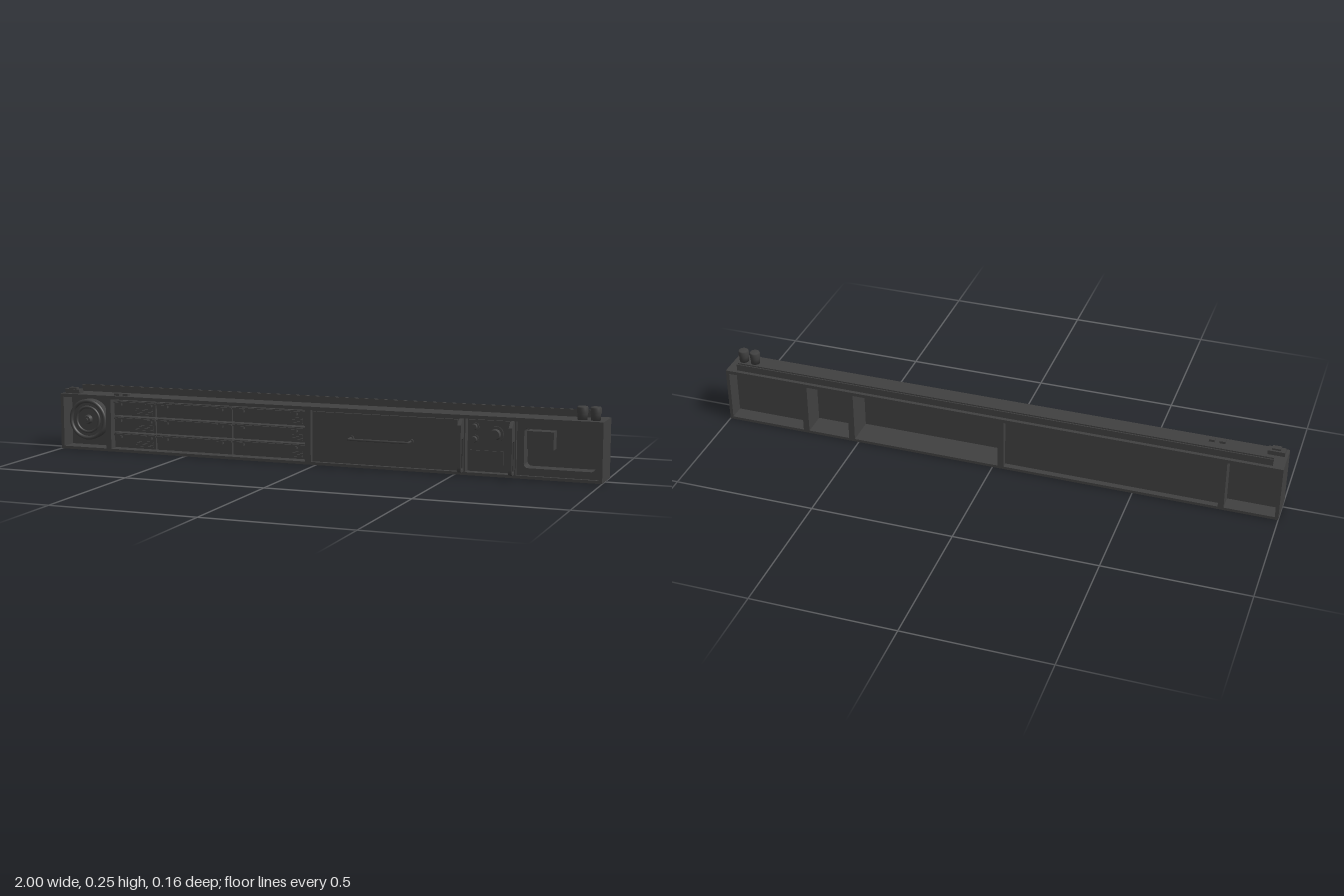
import * as THREE from 'three';

const material = new THREE.MeshStandardMaterial({ color: 0x404040 });

export function createModel() {
  const root = new THREE.Group();

  const add = (name, geometry, x = 0, y = 0, z = 0) => {
    const mesh = new THREE.Mesh(geometry, material);
    mesh.name = name;
    mesh.position.set(x, y, z);
    root.add(mesh);
    return mesh;
  };
  // Box given by its limits on each axis
  const box = (name, x0, x1, y0, y1, z0, z1) =>
    add(name, new THREE.BoxGeometry(x1 - x0, y1 - y0, z1 - z0), (x0 + x1) / 2, (y0 + y1) / 2, (z0 + z1) / 2);
  // Disc or knob whose axis points to the front
  const disc = (name, x, y, z0, z1, r, rFront = r) => {
    const g = new THREE.CylinderGeometry(rFront, r, z1 - z0, 32).rotateX(Math.PI / 2);
    return add(name, g, x, y, (z0 + z1) / 2);
  };
  const roundedPath = (path, x0, x1, y0, y1, r) => {
    path.absarc(x1 - r, y0 + r, r, -Math.PI / 2, 0);
    path.absarc(x1 - r, y1 - r, r, 0, Math.PI / 2);
    path.absarc(x0 + r, y1 - r, r, Math.PI / 2, Math.PI);
    path.absarc(x0 + r, y0 + r, r, Math.PI, Math.PI * 1.5);
    path.closePath();
    return path;
  };
  const extrude = (shape, depth) =>
    new THREE.ExtrudeGeometry(shape, { depth, bevelEnabled: false, curveSegments: 8 });

  const BACK = -0.08, FRONT = 0.043, TOP = 0.203;

  // Outer case, open at front and back
  box('caseBottom', -1, 1, 0, 0.01, BACK, FRONT);
  box('caseTop', -1, 1, TOP - 0.012, TOP, BACK, FRONT);
  for (const s of [-1, 1]) box('caseEnd', s * 0.994 - 0.006, s * 0.994 + 0.006, 0.01, TOP - 0.012, BACK, FRONT);
  for (const [x, w] of [[-0.805, 0.02], [-0.029, 0.022], [0.525, 0.022], [0.7, 0.022]])
    box('divider', x - w / 2, x + w / 2, 0.01, TOP - 0.012, BACK, FRONT);

  // Recessed panels closing each bay
  for (const [x0, x1, z] of [[-0.99, -0.81, -0.02], [-0.8, -0.035, -0.055], [-0.02, 0.52, 0.028], [0.53, 0.695, 0.012], [0.705, 0.99, -0.02]])
    box('bayPanel', x0, x1, 0.01, TOP - 0.012, z - 0.004, z);

  // Round reel in the end bay
  const rx = -0.908, ry = 0.107;
  disc('reelBase', rx, ry, -0.02, 0.004, 0.074);
  add('reelRim', new THREE.TorusGeometry(0.068, 0.007, 10, 48), rx, ry, 0.008);
  add('reelInnerRing', new THREE.TorusGeometry(0.046, 0.005, 10, 40), rx, ry, 0.008);
  disc('reelHub', rx, ry, 0.004, 0.018, 0.017, 0.013);
  disc('reelAxle', rx, ry, 0.018, 0.026, 0.006);

  // Stacked drawer units in three columns
  for (const [x0, x1] of [[-0.79, -0.625], [-0.62, -0.325], [-0.32, -0.045]]) {
    for (let row = 0; row < 3; row++) {
      const y = 0.014 + row * 0.059;
      box('drawerUnit', x0, x1, y, y + 0.053, -0.055, 0.022);
      box('drawerLip', x0, x1, y + 0.044, y + 0.05, 0.022, 0.03);
      for (const s of [0.12, 0.85]) {
        const cx = x0 + (x1 - x0) * s;
        box('drawerClip', cx - 0.012, cx + 0.012, y + 0.036, y + 0.046, 0.022, 0.034);
      }
    }
  }
  // Small vents beside the drawers
  for (let row = 0; row < 3; row++) {
    for (let i = 0; i < 4; i++) {
      const y = 0.02 + row * 0.059 + i * 0.006;
      box('ventSlat', -0.095, -0.055, y, y + 0.003, 0.022, 0.026);
      box('ventSlat', -0.705, -0.635, y, y + 0.003, 0.022, 0.026);
    }
  }

  // Wide drawer front with a bar handle
  box('wideDrawerFront', -0.012, 0.507, 0.016, 0.186, 0.028, 0.038);
  const hx0 = 0.13, hx1 = 0.345, hy = 0.102;
  const bar = new THREE.CurvePath();
  const p = [[hx0, 0.038], [hx0, 0.075], [hx1, 0.075], [hx1, 0.038]].map(([x, z]) => new THREE.Vector3(x, hy, z));
  for (let i = 0; i < 3; i++) bar.add(new THREE.LineCurve3(p[i], p[i + 1]));
  add('drawerHandle', new THREE.TubeGeometry(bar, 72, 0.004, 8));
  for (const x of [hx0, hx1]) disc('handleMount', x, hy, 0.038, 0.044, 0.009);

  // Control panel with buttons and a dial
  box('controlPlate', 0.54, 0.685, 0.09, 0.186, 0.012, 0.02);
  box('controlLowerPlate', 0.545, 0.66, 0.022, 0.082, 0.012, 0.017);
  for (const y of [0.162, 0.12]) {
    disc('buttonCollar', 0.562, y, 0.02, 0.024, 0.016);
    disc('button', 0.562, y, 0.024, 0.033, 0.011, 0.009);
  }
  disc('dialCollar', 0.635, 0.14, 0.02, 0.025, 0.028);
  disc('dial', 0.635, 0.14, 0.025, 0.038, 0.019, 0.016);

  // Guard rails either side of the control panel
  const guard = new THREE.Shape();
  guard.moveTo(0.042, 0.012);
  guard.lineTo(0.063, 0.012);
  guard.quadraticCurveTo(0.079, 0.012, 0.079, 0.03);
  guard.lineTo(0.079, 0.172);
  guard.lineTo(0.059, 0.191);
  guard.lineTo(0.042, 0.191);
  guard.closePath();
  guard.holes.push(roundedPath(new THREE.Path(), 0.052, 0.07, 0.02, 0.125, 0.006));
  for (const x of [0.525, 0.7])
    add('guardRail', extrude(guard, 0.012).rotateY(-Math.PI / 2), x + 0.006, 0, 0);

  // The rail profile is drawn in x, so turn it to face the front
  root.children.filter((m) => m.name === 'guardRail').forEach((m) => m.geometry.computeBoundingBox());

  // Tray bay with a rounded opening and a dispenser block
  const frame = new THREE.Shape();
  frame.moveTo(0.71, 0.01);
  frame.lineTo(0.988, 0.01);
  frame.lineTo(0.988, 0.191);
  frame.lineTo(0.71, 0.191);
  frame.closePath();
  frame.holes.push(roundedPath(new THREE.Path(), 0.735, 0.975, 0.035, 0.17, 0.014));
  add('trayFrame', extrude(frame, 0.052), 0, 0, -0.02);
  box('dispenserBlock', 0.742, 0.832, 0.097, 0.158, -0.02, 0.022);

  // Twin turning knobs on top
  for (const x of [0.922, 0.966]) {
    const profile = [[0, 0], [0.0165, 0], [0.0165, 0.02], [0.0185, 0.023], [0.0185, 0.04], [0.016, 0.044], [0, 0.044]];
    const g = new THREE.LatheGeometry(profile.map(([r, y]) => new THREE.Vector2(r, y)), 28);
    add('topKnob', g, x, TOP, 0.003);
  }

  // Thin rails along the top, and small fittings
  for (const z of [-0.0535, -0.0645]) box('topRail', -0.962, 0.962, TOP, 0.227, z - 0.002, z + 0.002);
  box('topLatch', -0.99, -0.932, TOP, 0.218, -0.004, 0.026);
  box('topLatchLever', -0.975, -0.945, 0.218, 0.224, 0.004, 0.024);
  for (const x of [-0.778, -0.742]) box('topClip', x - 0.01, x + 0.01, TOP, 0.211, 0.01, 0.03);

  return root;
}
